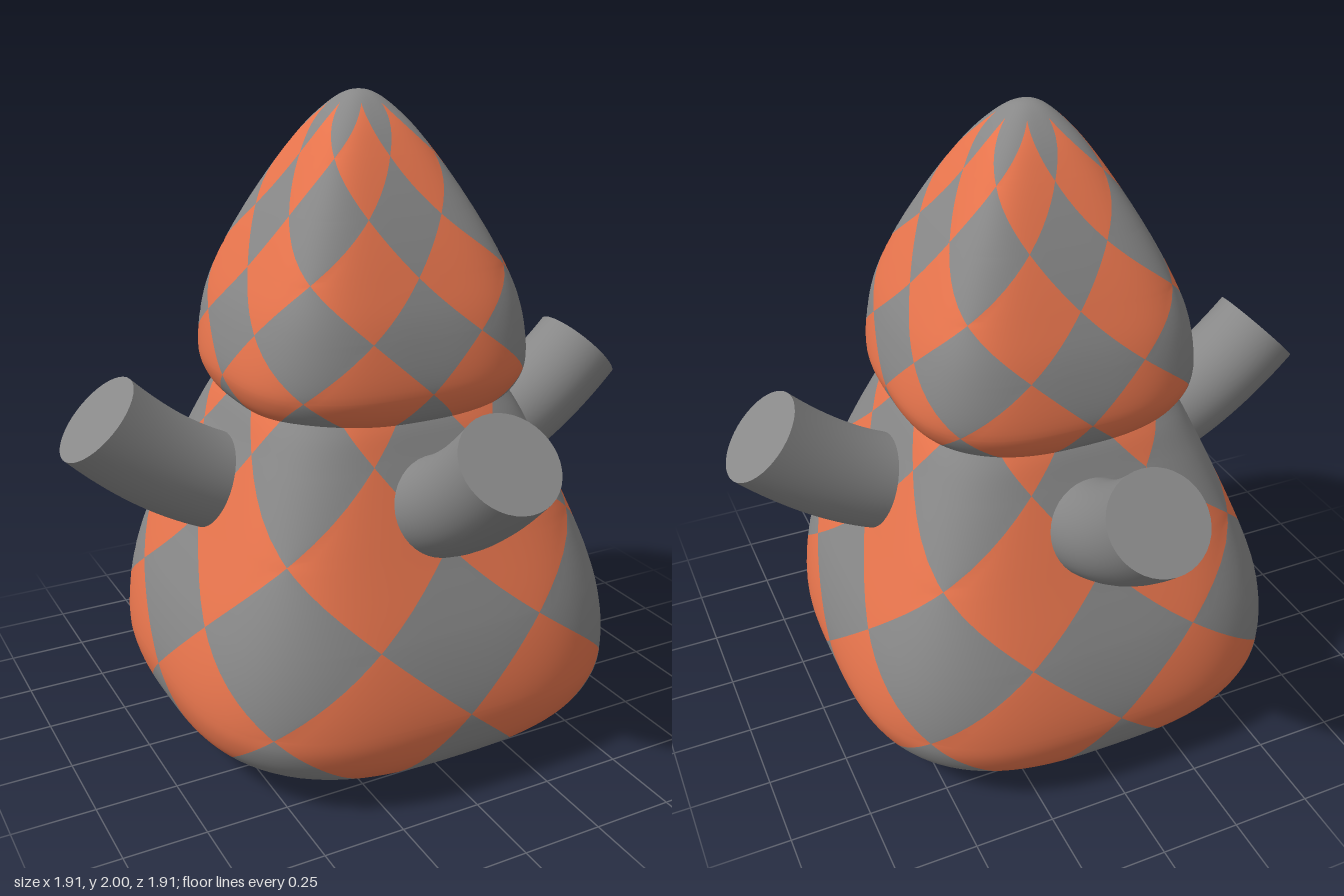
import * as THREE from 'three';
import { mergeVertices } from 'three/addons/utils/BufferGeometryUtils.js';

const grey = new THREE.MeshStandardMaterial({ color: 0x888888 });
const orange = new THREE.MeshStandardMaterial({ color: 0xe8754d });
grey.name = 'grey';
orange.name = 'orange';

const CELLS = 16; // half-diamonds around the body
const STEPS = 5;  // subdivisions of each coloured strip

// Rounded-square solid with a diamond check.
// profile rows: [half width, height, squareness]
// knots: heights where diamonds touch, alternately all grey and all orange rings
// (the first knot is grey).
function checkedSolid(name, profile, knots) {
  const curve = new THREE.CatmullRomCurve3(profile.map(([r, y, n]) => new THREE.Vector3(r, y, n / 100)));
  const rows = curve.getPoints(84);

  // add exact rows at the diamond corners
  for (const y of knots) {
    const i = rows.findIndex(p => p.y > y);
    if (i < 1) continue;
    const a = rows[i - 1], b = rows[i];
    rows.splice(i, 0, a.clone().lerp(b, (y - a.y) / (b.y - a.y)));
  }

  // grey share of a half-diamond at height y (triangle wave through the knots)
  const greyShare = y => {
    const i = knots.findIndex(k => k > y);
    if (i < 1) return 1;
    const t = (y - knots[i - 1]) / (knots[i] - knots[i - 1]);
    return i % 2 ? 1 - t : t;
  };

  const positions = [];
  const greyFaces = [], orangeFaces = [];
  const stride = CELLS * 2 * (STEPS + 1);
  rows.forEach(({ x: r, y, z }, row) => {
    const n = z * 100, w = greyShare(y);
    for (let k = 0; k < CELLS; k++) {
      const split = k % 2 ? 1 - w : w;
      for (let part = 0; part < 2; part++) {
        const faces = (k + part) % 2 === 0 ? greyFaces : orangeFaces;
        for (let s = 0; s <= STEPS; s++) {
          const f = part ? split + (1 - split) * s / STEPS : split * s / STEPS;
          const angle = (k + f) / CELLS * Math.PI * 2;
          const sx = Math.sin(angle), cz = Math.cos(angle);
          const d = r / Math.pow(Math.abs(sx) ** n + Math.abs(cz) ** n, 1 / n);
          positions.push(sx * d, y, cz * d);
          if (row && s) {
            const c = positions.length / 3 - 1;
            faces.push(c - 1 - stride, c - stride, c, c - 1 - stride, c, c - 1);
          }
        }
      }
    }
  });

  let geometry = new THREE.BufferGeometry();
  geometry.setAttribute('position', new THREE.Float32BufferAttribute(positions, 3));
  geometry.setIndex(greyFaces.concat(orangeFaces));
  geometry = mergeVertices(geometry, 1e-5);
  geometry.addGroup(0, greyFaces.length, 0);
  geometry.addGroup(greyFaces.length, orangeFaces.length, 1);
  geometry.computeVertexNormals();
  const mesh = new THREE.Mesh(geometry, [grey, orange]);
  mesh.name = name;
  return mesh;
}

// Curved pipe with a flat end, pointing along +x
function makeArm() {
  const arm = new THREE.Group();
  const path = new THREE.QuadraticBezierCurve3(
    new THREE.Vector3(0.25, 0.8, 0),
    new THREE.Vector3(0.555, 0.813, 0),
    new THREE.Vector3(0.85, 1.108, 0)
  );
  const pipe = new THREE.Mesh(new THREE.TubeGeometry(path, 24, 0.15, 40), grey);
  pipe.name = 'armPipe';
  const cap = new THREE.Mesh(new THREE.CircleGeometry(0.15, 40), grey);
  cap.name = 'armCap';
  cap.position.copy(path.getPoint(1));
  cap.quaternion.setFromUnitVectors(new THREE.Vector3(0, 0, 1), path.getTangent(1));
  arm.add(pipe, cap);
  return arm;
}

export function createModel() {
  const model = new THREE.Group();
  model.name = 'checkedFigure';

  model.add(checkedSolid('body', [
    [0, 0, 2.3], [0.2, 0.004, 2.3], [0.36, 0.014, 2.4], [0.5, 0.036, 2.5], [0.6, 0.075, 2.7],
    [0.67, 0.14, 2.9], [0.7, 0.22, 3.1], [0.704, 0.3, 3.2], [0.665, 0.48, 3.7],
    [0.56, 0.74, 4.5], [0.45, 1.0, 4.3], [0.405, 1.1, 3.8], [0.33, 1.2, 3.5], [0, 1.28, 3]
  ], [0.0425, 0.28, 0.5175, 0.755, 0.9925, 1.23]));

  model.add(checkedSolid('head', [
    [0, 1.03, 2.5], [0.25, 1.04, 2.5], [0.36, 1.06, 2.6], [0.425, 1.105, 2.8], [0.454, 1.16, 3],
    [0.459, 1.21, 3.2], [0.424, 1.37, 4], [0.37, 1.5, 4.7], [0.29, 1.66, 4.7],
    [0.19, 1.83, 4], [0.125, 1.92, 3.2], [0.065, 1.977, 2.5], [0.03, 1.995, 2.2], [0, 2, 2]
  ], [1.025, 1.185, 1.345, 1.505, 1.665, 1.825, 1.965]));

  ['leftArm', 'backArm', 'rightArm', 'frontArm'].forEach((name, i) => {
    const arm = makeArm();
    arm.name = name;
    arm.rotation.y = i * Math.PI / 2;
    model.add(arm);
  });
  return model;
}
